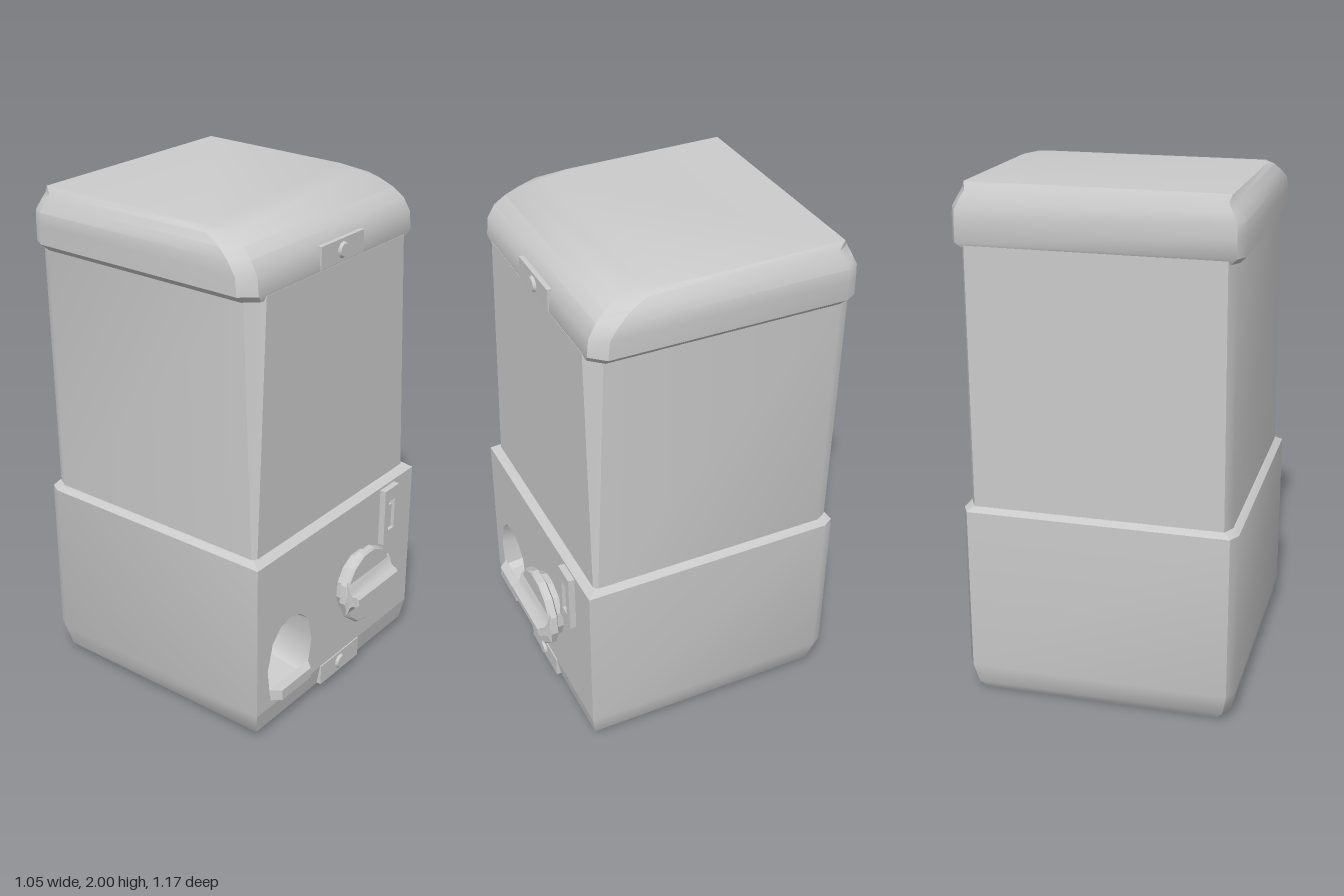
import * as THREE from 'three';
import { toCreasedNormals } from 'three/addons/utils/BufferGeometryUtils.js';

const grey = new THREE.MeshStandardMaterial({ color: 0xcccccc });
const greyBoth = new THREE.MeshStandardMaterial({ color: 0xcccccc, side: THREE.DoubleSide });

function add(parent, name, geometry, x = 0, y = 0, z = 0, material = grey) {
  const mesh = new THREE.Mesh(geometry, material);
  mesh.name = name;
  mesh.position.set(x, y, z);
  parent.add(mesh);
  return mesh;
}

// Builds faces between stacked rings of points, with optional end caps
function loft(rings, caps = true, skip = () => false) {
  const pos = [], n = rings[0].length;
  const tri = (a, b, c) => pos.push(...a, ...b, ...c);
  for (let k = 0; k < rings.length - 1; k++) {
    for (let i = 0; i < n; i++) {
      if (skip(i, k)) continue;
      const j = (i + 1) % n, lo = rings[k], hi = rings[k + 1];
      tri(lo[i], lo[j], hi[j]);
      tri(lo[i], hi[j], hi[i]);
    }
  }
  if (caps) {
    const lo = rings[0], hi = rings[rings.length - 1];
    for (let i = 1; i < n - 1; i++) {
      tri(lo[0], lo[i + 1], lo[i]);
      tri(hi[0], hi[i], hi[i + 1]);
    }
  }
  const g = new THREE.BufferGeometry();
  g.setAttribute('position', new THREE.Float32BufferAttribute(pos, 3));
  return toCreasedNormals(g, 0.6);
}

// Rectangular ring with bevelled front (fx, fz) and back (bx, bz) corners
function ring([y, hw, zf, zb, fx, fz, bx = 0.025, bz = 0.045, tilt = 0]) {
  return [
    [-hw + fx, zf], [hw - fx, zf], [hw, zf - fz], [hw, zb + bz],
    [hw - bx, zb], [-hw + bx, zb], [-hw, zb + bz], [-hw, zf - fz],
  ].map(([x, z]) => [x, y - tilt * (z - zb), z]);
}

function shapeOf(points) {
  return new THREE.Shape(points.map(([x, y]) => new THREE.Vector2(x, y)));
}

function rect(x0, y0, x1, y1) {
  return [[x0, y0], [x1, y0], [x1, y1], [x0, y1]];
}

function lockPlate(parent, name, x, y, z) {
  const group = new THREE.Group();
  group.name = name;
  group.position.set(x, y, z);
  add(group, 'plate', new THREE.BoxGeometry(0.265, 0.085, 0.03));
  const stud = new THREE.CylinderGeometry(0.024, 0.033, 0.012, 12).rotateX(Math.PI / 2);
  add(group, 'lockStud', stud, 0, 0, 0.019);
  parent.add(group);
}

export function createModel() {
  const model = new THREE.Group();
  model.name = 'capsuleMachine';

  // Base, its flat front left open for the pierced panel
  const base = [
    [0, 0.48, 0.42, -0.54, 0, 0],
    [0.035, 0.508, 0.455, -0.565, 0, 0],
    [0.12, 0.525, 0.47, -0.585, 0, 0],
    [0.765, 0.525, 0.47, -0.585, 0, 0],
    [0.785, 0.502, 0.437, -0.57, 0, 0],
  ].map(ring);
  add(model, 'base', loft(base, true, (i, k) => i === 0 && k === 2));

  // Front panel with the chute opening
  const opening = [
    [-0.42, 0.15], [-0.22, 0.15], [-0.2, 0.17], [-0.175, 0.29], [-0.2, 0.4], [-0.26, 0.45],
    [-0.32, 0.465], [-0.38, 0.45], [-0.43, 0.4], [-0.46, 0.29], [-0.445, 0.17],
  ];
  const panel = shapeOf(rect(-0.525, 0.12, 0.525, 0.765));
  panel.holes.push(shapeOf(opening));
  add(model, 'frontPanel', new THREE.ShapeGeometry(panel), 0, 0, 0.47);

  // Chute recess, narrowing towards its back wall
  const chuteFront = opening.map(([x, y]) => [x, y, 0.47]);
  const chuteBack = opening.map(([x, y]) => [-0.32 + (x + 0.32) * 0.8, 0.2 + (y - 0.15) * 0.8, 0.27]);
  add(model, 'chute', loft([chuteFront, chuteBack]
    .map((r) => r), false), 0, 0, 0, greyBoth);
  add(model, 'chuteBackWall', new THREE.ShapeGeometry(shapeOf(chuteBack)), 0, 0, 0.27);

  // Lip below the chute
  const lip = shapeOf([[-0.445, -0.465], [-0.41, -0.505], [-0.225, -0.505], [-0.19, -0.465]]);
  const lipGeo = new THREE.ExtrudeGeometry(lip, { depth: 0.045, bevelEnabled: false });
  add(model, 'chuteLip', lipGeo.rotateX(-Math.PI / 2), 0, 0.15, 0);

  // Upper housing, its front corner bevels widening upwards
  add(model, 'upperHousing', loft([
    [0.77, 0.5, 0.437, -0.565, 0.015, 0.015],
    [1.78, 0.495, 0.43, -0.58, 0.065, 0.05],
  ].map(ring)));

  // Lid with a rounded front brow and slightly tilted top
  add(model, 'lid', loft([
    [1.765, 0.5, 0.425, -0.57, 0.045, 0.05],
    [1.79, 0.525, 0.431, -0.585, 0.05, 0.055],
    [1.86, 0.525, 0.424, -0.585, 0.05, 0.055],
    [1.91, 0.522, 0.395, -0.585, 0.05, 0.06],
    [1.945, 0.505, 0.355, -0.572, 0.045, 0.07],
    [1.975, 0.49, 0.3, -0.56, 0.045, 0.08],
    [2.0, 0.475, 0.2, -0.545, 0.03, 0.1, 0.002, 0.002, 0.0135],
  ].map(ring)));

  lockPlate(model, 'lidLock', 0.012, 1.83, 0.42);
  lockPlate(model, 'baseLock', 0.022, 0.08, 0.46);

  // Turning knob: faceted disc with a flared grip bar
  const knob = new THREE.Group();
  knob.name = 'knob';
  knob.position.set(0.12, 0.42, 0);
  const disc = new THREE.LatheGeometry(
    [[0, 0.46], [0.13, 0.46], [0.135, 0.495], [0.16, 0.505], [0.16, 0.53], [0.153, 0.537], [0, 0.537]]
      .map(([r, h]) => new THREE.Vector2(r, h)), 13).rotateX(Math.PI / 2);
  add(knob, 'disc', toCreasedNormals(disc, 0.4));
  const half = [[0.53, 0.075], [0.54, 0.06], [0.547, 0.035], [0.56, 0.021], [0.575, 0.022], [0.585, 0.013]];
  const profile = [...half.map(([z, y]) => [-z, -y]), ...half.map(([z, y]) => [-z, y]).reverse()];
  const grip = new THREE.ExtrudeGeometry(shapeOf(profile), { depth: 0.28, bevelEnabled: false });
  grip.translate(0, 0, -0.14).rotateY(Math.PI / 2);
  // Taper the grip ends as it rises from the disc
  const p = grip.attributes.position;
  for (let i = 0; i < p.count; i++) {
    p.setX(i, p.getX(i) * (1.06 - Math.max(0, p.getZ(i) - 0.565) * 3));
  }
  add(knob, 'grip', toCreasedNormals(grip, 0.7));
  model.add(knob);

  // Coin slot: framed plate with a sunken slot
  const coin = new THREE.Group();
  coin.name = 'coinSlot';
  const frame = shapeOf(rect(0.285, 0.51, 0.385, 0.755));
  frame.holes.push(shapeOf(rect(0.315, 0.565, 0.357, 0.7)));
  add(coin, 'frame', new THREE.ExtrudeGeometry(frame, { depth: 0.03, bevelEnabled: false }), 0, 0, 0.466);
  add(coin, 'slotInsert', new THREE.BoxGeometry(0.042, 0.105, 0.015), 0.336, 0.617, 0.474);
  model.add(coin);

  return model;
}
